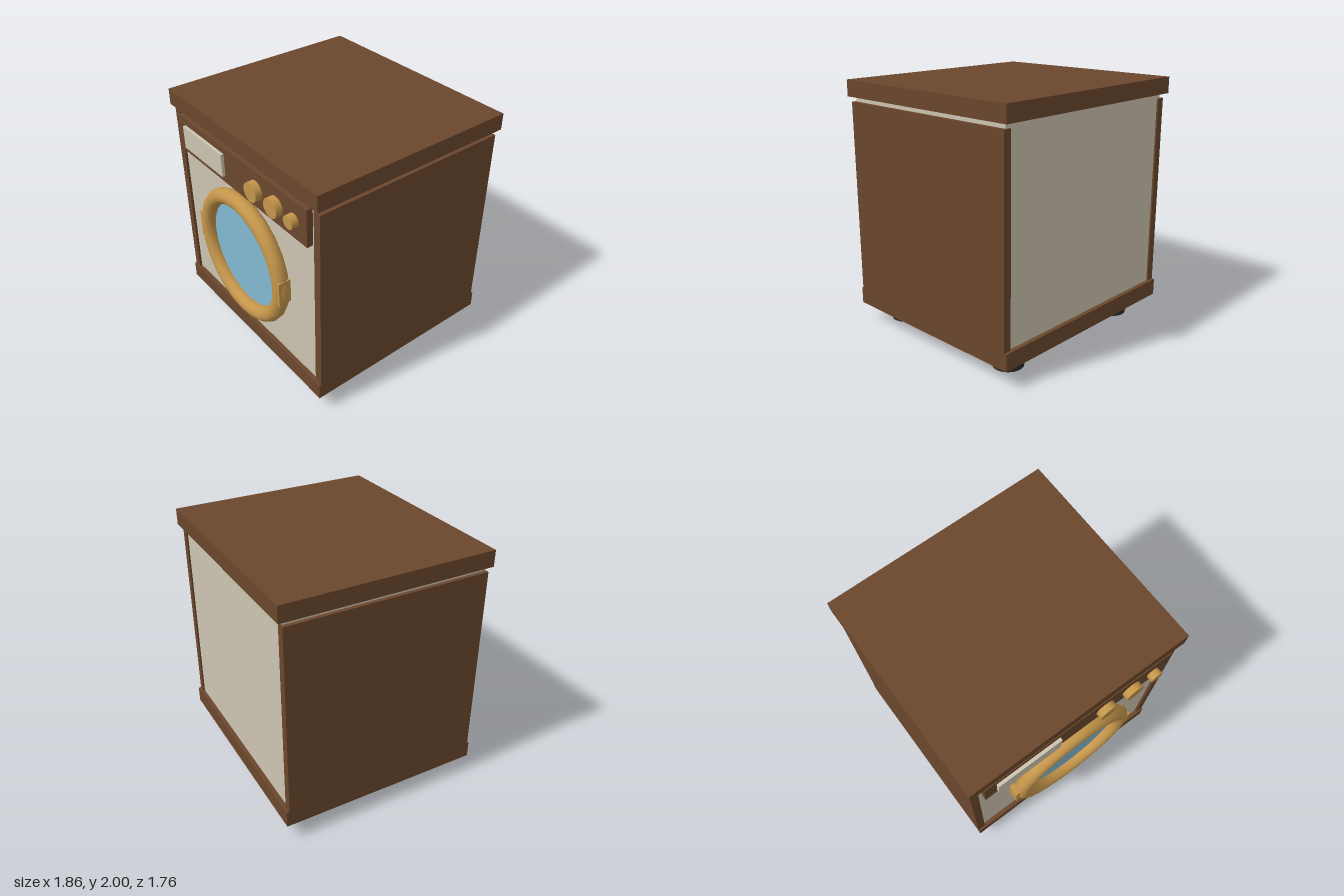
import * as THREE from 'three';

export function createModel() {
  const model = new THREE.Group();
  model.name = 'washingMachine';

  const material = (name, color) => {
    const m = new THREE.MeshStandardMaterial({ color });
    m.name = name;
    return m;
  };
  const wood = material('brown wood', 0x6b472d);
  const cream = material('cream enamel', 0xcdc4b1);
  const brass = material('brass', 0xc4954a);
  const glass = material('blue glass', 0x82bad1);
  const rubber = material('black rubber', 0x2b2b2b);

  const add = (name, geometry, mat, x = 0, y = 0, z = 0) => {
    const mesh = new THREE.Mesh(geometry, mat);
    mesh.name = name;
    mesh.position.set(x, y, z);
    model.add(mesh);
    return mesh;
  };
  // Box given by its extents on each axis
  const box = (name, mat, [x0, x1], [y0, y1], [z0, z1]) =>
    add(name, new THREE.BoxGeometry(x1 - x0, y1 - y0, z1 - z0), mat,
      (x0 + x1) / 2, (y0 + y1) / 2, (z0 + z1) / 2);
  // Disc facing the front
  const disc = (name, mat, r, x, y, z0, z1) =>
    add(name, new THREE.CylinderGeometry(r, r, z1 - z0, 24).rotateX(Math.PI / 2), mat,
      x, y, (z0 + z1) / 2);

  // Cabinet
  box('body', cream, [-0.885, 0.885], [0.138, 1.88], [-0.83, 0.765]);
  box('lid', wood, [-0.93, 0.93], [1.87, 2], [-0.88, 0.815]);
  box('basePlinth', wood, [-0.915, 0.915], [0.14, 0.275], [-0.865, 0.8]);
  for (const [side, s] of [['left', 1], ['right', -1]]) {
    const xs = [s * 0.85, s * 0.915].sort((a, b) => a - b);
    box(side + 'SidePanel', wood, xs, [0.275, 1.83], [-0.843, 0.785]);
    // Feet
    for (const [end, z] of [['Front', 0.565], ['Back', -0.622]]) {
      add(side + end + 'Foot', new THREE.CylinderGeometry(0.12, 0.12, 0.16, 24), rubber,
        s * 0.643, 0.08, z);
    }
  }

  // Control panel with display and knobs
  box('controlPanel', wood, [-0.815, 0.815], [1.53, 1.83], [0.75, 0.815]);
  box('display', cream, [-0.715, -0.172], [1.588, 1.775], [0.8, 0.84]);
  for (const [x, r] of [[0.236, 0.076], [0.475, 0.076], [0.677, 0.051]]) {
    disc('knob', brass, r, x, 1.68, 0.8, 0.868);
  }

  // Round door
  const doorY = 0.955;
  add('doorRing', new THREE.TorusGeometry(0.4925, 0.0635, 16, 24), brass, 0, doorY, 0.82);
  disc('doorGlass', glass, 0.46, 0, doorY, 0.75, 0.803);
  box('doorHinge', brass, [-0.57, -0.53], [0.835, 1.07], [0.76, 0.855]);
  box('doorLatch', brass, [0.512, 0.545], [0.852, 1.053], [0.77, 0.872]);

  return model;
}
